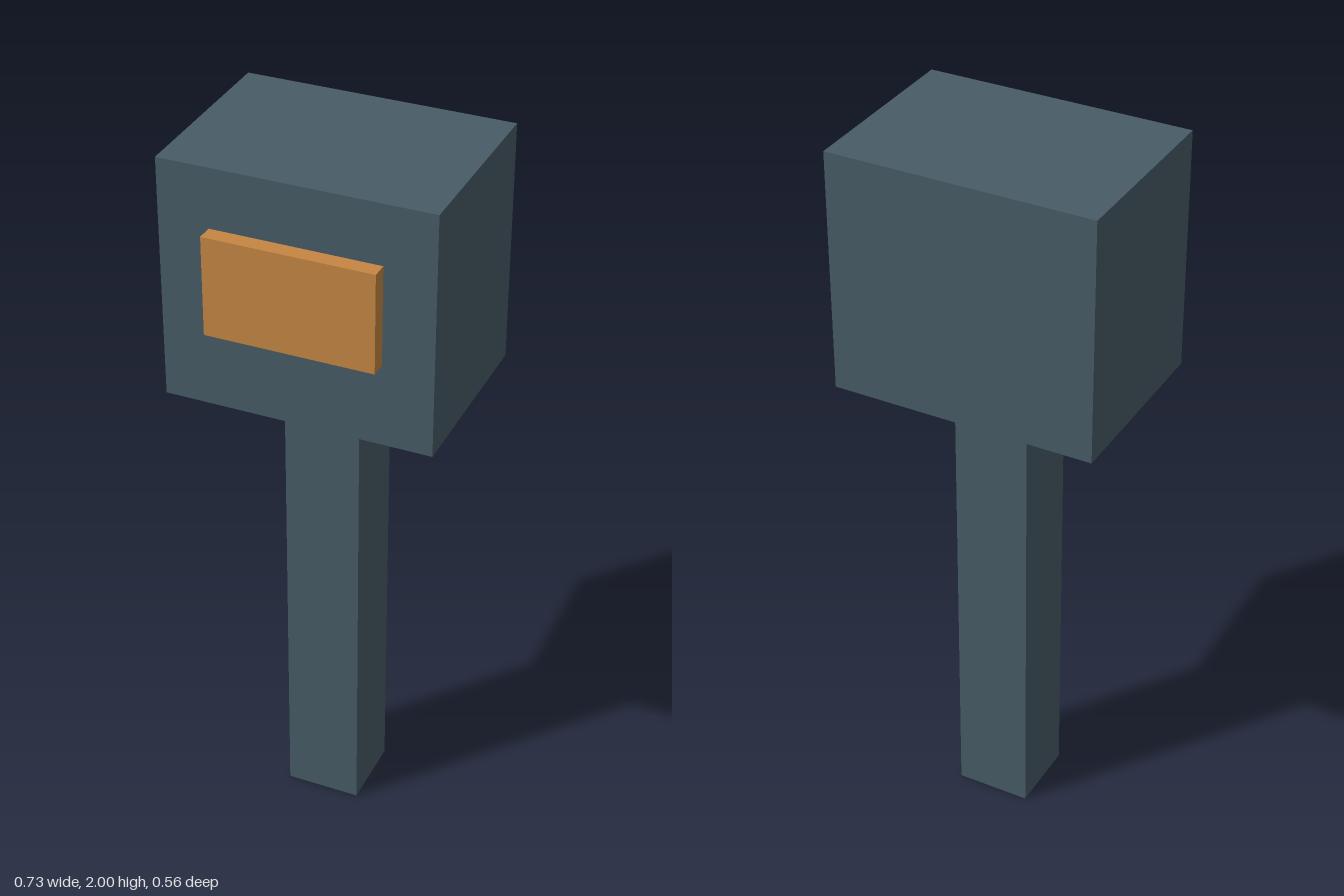
import * as THREE from 'three';

const slate = new THREE.MeshStandardMaterial({ name: 'slate', color: 0x485b66 });
const amber = new THREE.MeshStandardMaterial({ name: 'amber', color: 0xc68642 });

// Box centred on x, given its width and its y and z ranges
function box(name, material, width, [y0, y1], [z0, z1]) {
  const mesh = new THREE.Mesh(new THREE.BoxGeometry(width, y1 - y0, z1 - z0), material);
  mesh.name = name;
  mesh.position.set(0, (y0 + y1) / 2, (z0 + z1) / 2);
  return mesh;
}

export function createModel() {
  const model = new THREE.Group();
  model.name = 'postBox';
  model.add(
    // Square post carrying the housing
    box('post', slate, 0.208, [0, 1.337], [-0.126, 0.082]),
    box('housing', slate, 0.726, [1.337, 2], [-0.28, 0.235]),
    // Raised panel on the front of the housing
    box('frontPanel', amber, 0.454, [1.565, 1.837], [0.235, 0.28]),
  );
  return model;
}
